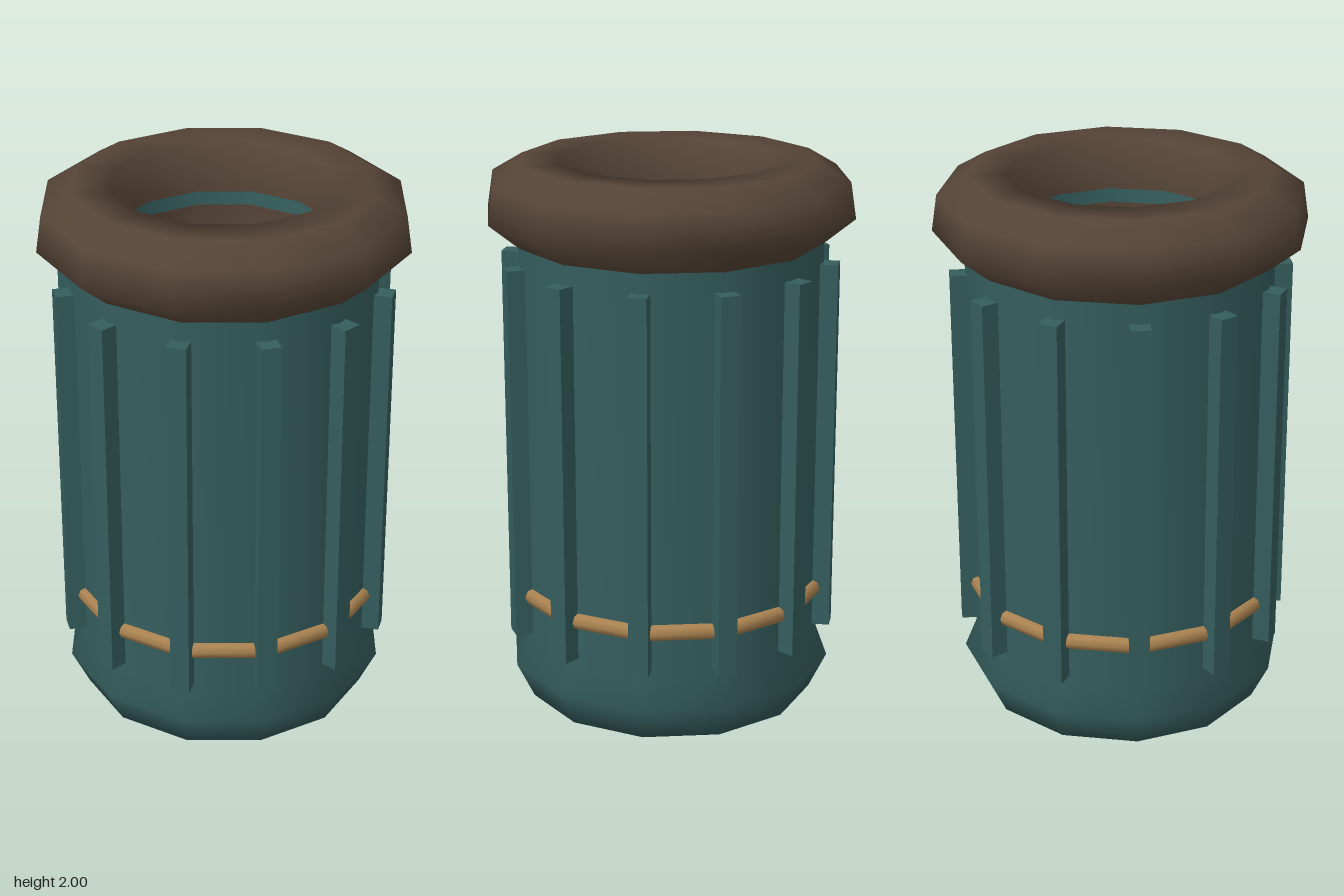
import * as THREE from 'three';

const SIDES = 12;

function material(name, color) {
  const m = new THREE.MeshStandardMaterial({ color });
  m.name = name;
  return m;
}

function lathe(name, profile, mat) {
  const points = profile.map(([r, y]) => new THREE.Vector2(r, y));
  const mesh = new THREE.Mesh(new THREE.LatheGeometry(points, SIDES), mat);
  mesh.name = name;
  return mesh;
}

export function createModel() {
  const group = new THREE.Group();
  group.name = 'ribbedContainer';
  const teal = material('teal', 0x355d5d);
  const brown = material('brown', 0x554436);
  const tan = material('tan', 0xa98250);

  // Closed body with a flared foot
  group.add(lathe('body', [
    [0, 0], [0.535, 0], [0.6, 0.135], [0.555, 0.225], [0.555, 1.74],
  ], teal));

  // Thick collar around the mouth
  group.add(lathe('rim', [
    [0.54, 1.703], [0.665, 1.805], [0.645, 1.935], [0.535, 2],
    [0.4, 2], [0.385, 1.81],
  ], brown));

  // Thin band showing just inside the mouth
  group.add(lathe('innerBand', [[0.385, 1.81], [0.38, 1.76]], teal));

  // Hollow interior
  group.add(lathe('cavity', [[0.38, 1.76], [0.38, 1.35], [0, 1.35]], brown));

  // Cord around the lower body
  const cord = new THREE.Mesh(new THREE.TorusGeometry(0.55, 0.032, 8, SIDES), tan);
  cord.name = 'cord';
  cord.rotation.x = Math.PI / 2;
  cord.position.y = 0.415;
  group.add(cord);

  // Upright ribs, one on each corner of the body
  const ribGeometry = new THREE.BoxGeometry(0.07, 1.375, 0.07);
  ribGeometry.translate(0, 0.9575, 0.575);
  for (let i = 0; i < SIDES; i++) {
    const rib = new THREE.Mesh(ribGeometry, teal);
    rib.name = 'rib' + (i + 1);
    rib.rotation.y = (i / SIDES) * Math.PI * 2;
    group.add(rib);
  }
  return group;
}
